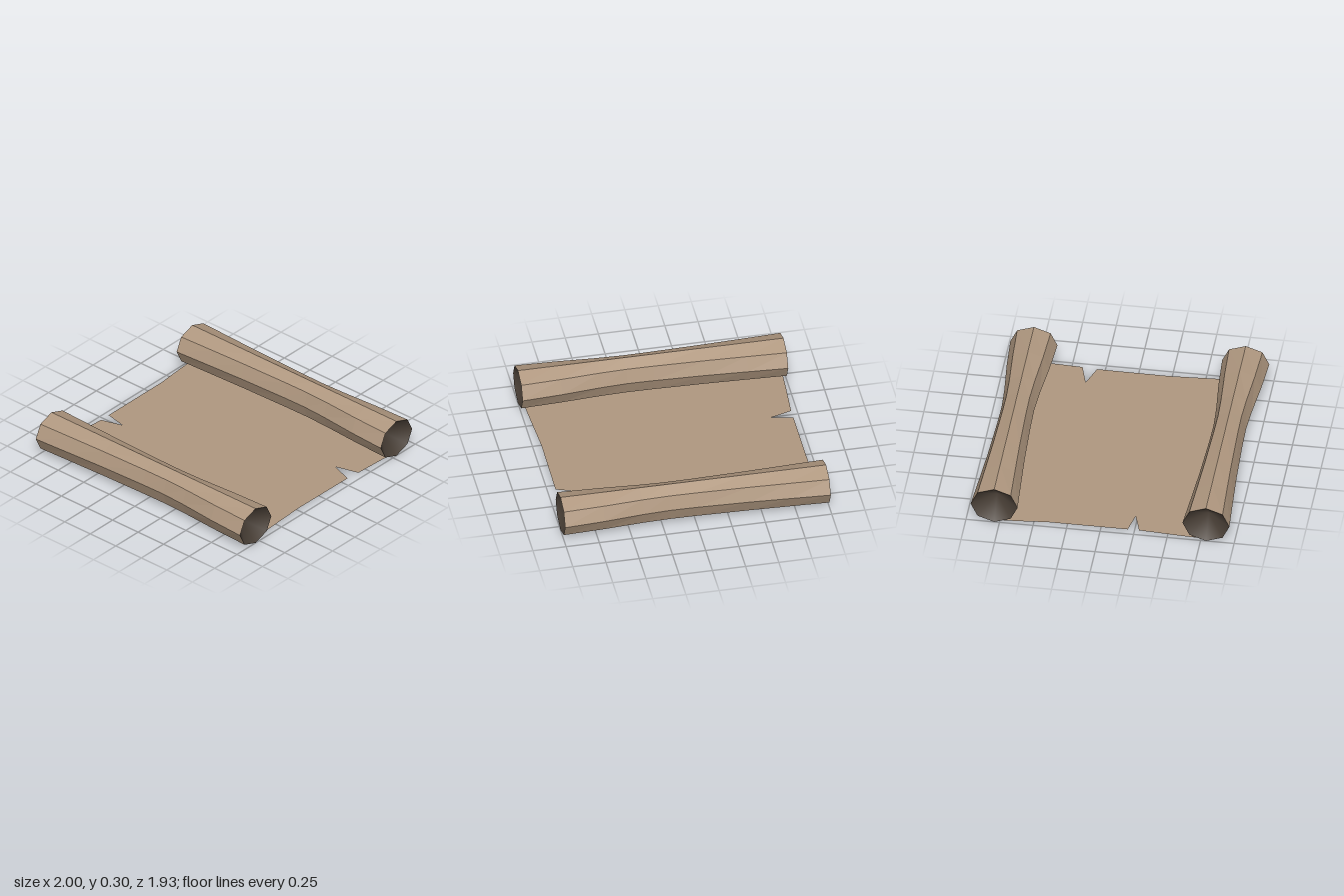
import * as THREE from 'three';

const RY = 0.15, SIDES = 8, ROLL_Z = 0.79;
// Half depth of a roll along x: flared ends, waist right of centre
const STATIONS = [[-1, 0.175], [-0.7, 0.157], [-0.4, 0.14], [0, 0.125], [0.2, 0.122], [0.4, 0.132], [0.7, 0.159], [1, 0.176]];

const ringPoint = (x, rz, i) => {
  const a = (i / SIDES) * Math.PI * 2;
  return [x, RY + RY * Math.cos(a), rz * Math.sin(a)];
};

function build(positions, index) {
  const g = new THREE.BufferGeometry();
  g.setAttribute('position', new THREE.Float32BufferAttribute(positions, 3));
  g.setIndex(index);
  g.computeVertexNormals();
  return g;
}

// Octagonal tube lofted through the stations
function tubeGeometry() {
  const pos = [], idx = [];
  for (const [x, rz] of STATIONS) for (let i = 0; i < SIDES; i++) pos.push(...ringPoint(x, rz, i));
  for (let s = 0; s < STATIONS.length - 1; s++) {
    for (let i = 0; i < SIDES; i++) {
      const a = s * SIDES + i, b = s * SIDES + (i + 1) % SIDES;
      idx.push(a, b, a + SIDES, b, b + SIDES, a + SIDES);
    }
  }
  // Wind faces outward
  for (let k = 0; k < idx.length; k += 3) [idx[k + 1], idx[k + 2]] = [idx[k + 2], idx[k + 1]];
  return build(pos, idx);
}

// Dark hollow in a roll's end: a smooth shallow cone sinking inward
function hollowGeometry(side) {
  const [x, rz] = STATIONS[side > 0 ? STATIONS.length - 1 : 0];
  const pos = [x - side * 0.15, RY, 0], idx = [];
  for (let i = 0; i < SIDES; i++) {
    pos.push(...ringPoint(x, rz, i));
    const a = 1 + i, b = 1 + (i + 1) % SIDES;
    idx.push(0, ...(side > 0 ? [a, b] : [b, a]));
  }
  return build(pos, idx);
}

export function createModel() {
  const parchment = new THREE.MeshStandardMaterial({ color: 0xb09880 });
  parchment.flatShading = true;
  parchment.side = THREE.DoubleSide;
  const shadowBrown = new THREE.MeshStandardMaterial({ color: 0x4a4037 });
  shadowBrown.side = THREE.DoubleSide;

  const model = new THREE.Group();
  model.name = 'scroll';

  // Flat sheet outline as (x, z), with a torn notch in each side edge
  const outline = [
    [-0.985, -0.8], [0.97, -0.8], [0.96, -0.62], [0.95, -0.42], [0.77, -0.37], [0.94, -0.31],
    [0.935, 0.23], [0.955, 0.6], [0.965, 0.8], [-0.985, 0.8], [-0.975, 0.6],
    [-0.955, 0.285], [-0.79, 0.235], [-0.955, 0.2], [-0.955, -0.4], [-0.975, -0.62],
  ];
  const shape = new THREE.Shape(outline.map(([x, z]) => new THREE.Vector2(x, -z)));
  const sheet = new THREE.Mesh(new THREE.ShapeGeometry(shape).rotateX(-Math.PI / 2), parchment);
  sheet.name = 'sheet';
  sheet.position.y = 0.008;
  model.add(sheet);

  // Rolled ends, front and back
  for (const end of [1, -1]) {
    const roll = new THREE.Group();
    roll.name = end > 0 ? 'frontRoll' : 'backRoll';
    roll.position.z = end * ROLL_Z;
    const tube = new THREE.Mesh(tubeGeometry(), parchment);
    tube.name = 'rolledParchment';
    roll.add(tube);
    for (const side of [1, -1]) {
      const hollow = new THREE.Mesh(hollowGeometry(side), shadowBrown);
      hollow.name = side > 0 ? 'leftHollow' : 'rightHollow';
      roll.add(hollow);
    }
    model.add(roll);
  }
  return model;
}
